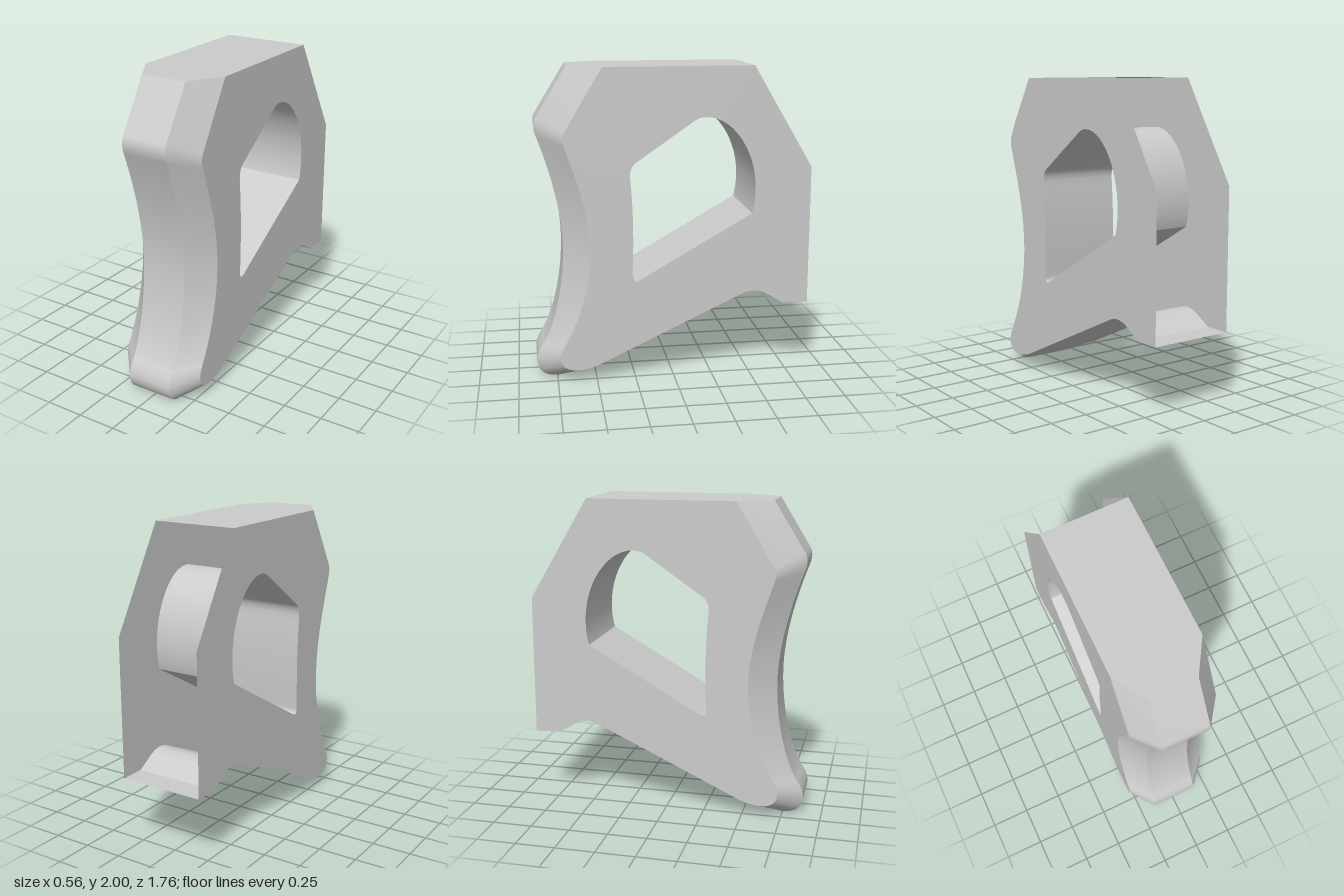
import * as THREE from 'three';
import { toCreasedNormals } from 'three/addons/utils/BufferGeometryUtils.js';

const HALF = 0.28;   // half width of the body
const NOSE = 0.15;   // half width of the front strip between the chamfers
const TOP = 2;

// Profiles are drawn as (z, y). Each step: 2 numbers = line, 4 = quadratic, 6 = cubic.
function profile(start, steps) {
  const path = new THREE.Path().moveTo(...start);
  for (const s of steps) {
    if (s.length === 2) path.lineTo(...s);
    else if (s.length === 4) path.quadraticCurveTo(...s);
    else path.bezierCurveTo(...s);
  }
  return path.getPoints(14);
}

// Surface between two matching profiles lying at xA and xB (xA < xB)
function ribbon(a, xA, b, xB) {
  const pos = [], index = [];
  a.forEach((p, i) => {
    pos.push(xA, p.y, p.x, xB, b[i].y, b[i].x);
    if (i) {
      const k = 2 * i - 2;
      index.push(k, k + 2, k + 3, k, k + 3, k + 1);
    }
  });
  const g = new THREE.BufferGeometry();
  g.setAttribute('position', new THREE.Float32BufferAttribute(pos, 3));
  g.setIndex(index);
  return toCreasedNormals(g, 0.45);
}

export function createModel() {
  const group = new THREE.Group();
  const material = new THREE.MeshStandardMaterial({ color: 0xcccccc, side: THREE.DoubleSide });
  const add = (name, geometry) => {
    const mesh = new THREE.Mesh(geometry, material);
    mesh.name = name;
    group.add(mesh);
  };

  // Front edge, on the nose strip and where the chamfer meets the side walls
  const nose = profile([0.65, TOP], [
    [0.845, 1.685],
    [0.87, 1.64, 0.845, 1.575],
    [0.78, 1.40, 0.695, 1.12, 0.695, 0.865],
    [0.695, 0.64, 0.745, 0.38, 0.83, 0.23],
    [0.88, 0.16, 0.88, 0.105],
    [0.872, 0.0, 0.75, 0.0],
    [0.69, 0.005, 0.61, 0.045],
    [0.46, 0.117],
  ]);
  const cheek = profile([0.44, TOP], [
    [0.68, 1.6],
    [0.69, 1.565, 0.68, 1.53],
    [0.62, 1.34, 0.53, 1.12, 0.53, 0.86],
    [0.53, 0.64, 0.60, 0.42, 0.70, 0.245],
    [0.73, 0.2, 0.73, 0.16],
    [0.725, 0.075, 0.62, 0.075],
    [0.55, 0.08, 0.5, 0.1],
    [0.46, 0.117],
  ]);
  // Sloping underside with the notch and the rear ledge
  const bottom = profile([0.46, 0.117], [
    [-0.446, 0.54],
    [-0.52, 0.575, -0.60, 0.537],
    [-0.72, 0.465],
    [-0.88, 0.465],
  ]);
  // Grip opening
  const hole = profile([0.245, 1.41], [
    [-0.13, 1.668],
    [-0.16, 1.687, -0.20, 1.687],
    [-0.37, 1.687, -0.52, 1.47, -0.52, 1.225],
    [-0.52, 1.14, -0.50, 1.07],
    [0.22, 0.66],
    [0.27, 0.635, 0.266, 0.70],
    [0.25, 1.05, 0.277, 1.32],
    [0.28, 1.38, 0.245, 1.41],
  ]);

  add('frontStrip', ribbon(nose, -NOSE, nose, NOSE));
  add('leftChamfer', ribbon(nose, NOSE, cheek, HALF));
  add('rightChamfer', ribbon(cheek, -HALF, nose, -NOSE));
  add('underside', ribbon(bottom, -HALF, bottom, HALF));
  add('openingWall', ribbon(hole, -HALF, hole, HALF));

  // Flat side walls; the back between them stays open
  const outline = [...cheek, ...bottom.slice(1), new THREE.Vector2(-0.88, 1.36), new THREE.Vector2(-0.5, TOP)];
  for (const side of [1, -1]) {
    const flip = (pts) => pts.map((p) => new THREE.Vector2(-side * p.x, p.y));
    const shape = new THREE.Shape(flip(outline));
    shape.holes.push(new THREE.Path(flip(hole)));
    const wall = new THREE.ShapeGeometry(shape).rotateY(side * Math.PI / 2).translate(side * HALF, 0, 0);
    add(side > 0 ? 'leftWall' : 'rightWall', wall);
  }

  // Top plate, narrowing towards the nose
  const plate = new THREE.Shape([
    [-HALF, 0.5], [-HALF, -0.44], [-NOSE, -0.65], [NOSE, -0.65], [HALF, -0.44], [HALF, 0.5],
  ].map((p) => new THREE.Vector2(...p)));
  add('topPlate', new THREE.ShapeGeometry(plate).rotateX(-Math.PI / 2).translate(0, TOP, 0));

  return group;
}
